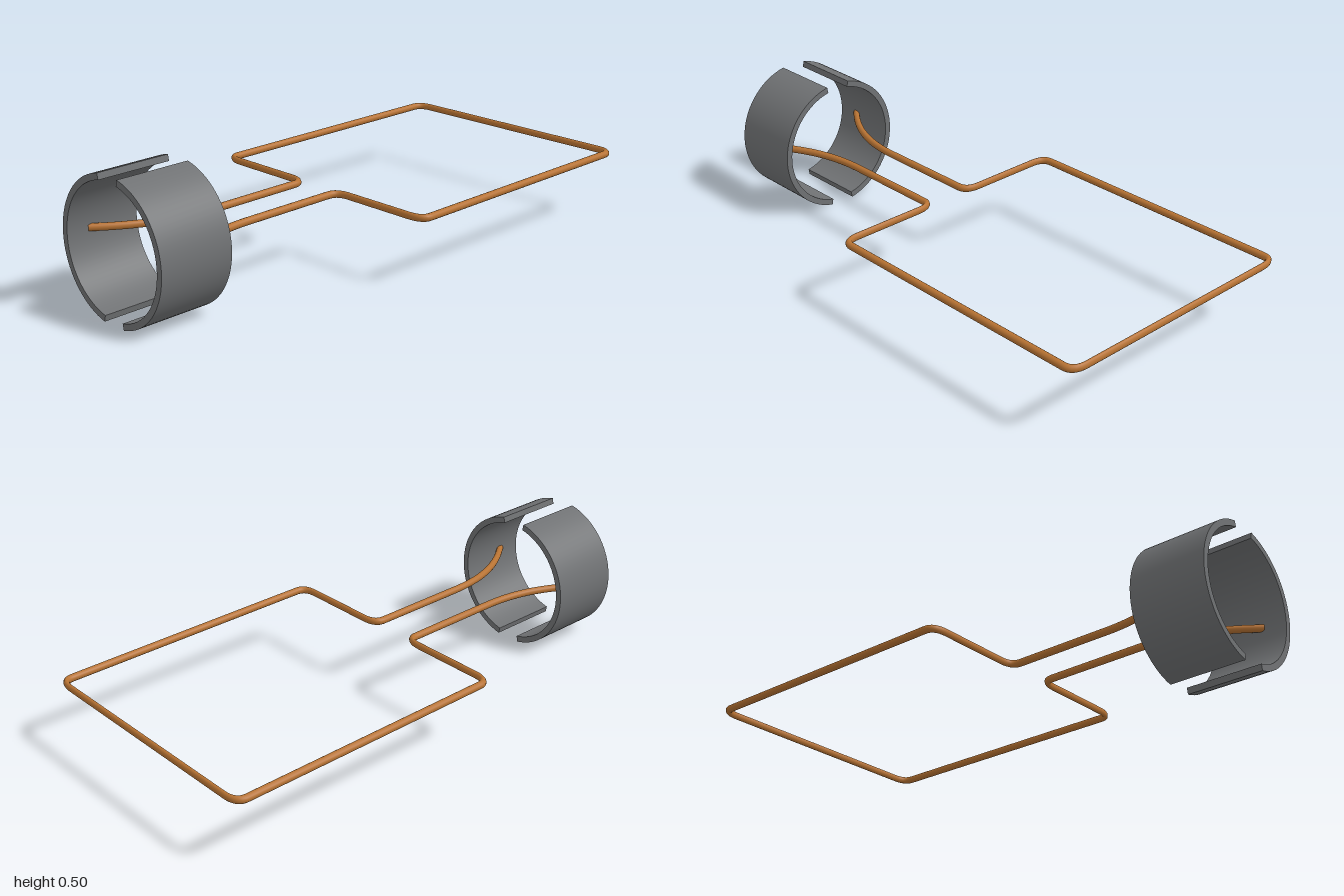
import * as THREE from 'three';
import { toCreasedNormals } from 'three/addons/utils/BufferGeometryUtils.js';

const CY = 0.2515; // height of the wire and of the ring axis
const SQUASH = 0.68; // the wire section is flattened along z

// Path through corner points, each corner rounded off by r
function roundedPath(points, r, path) {
  let last = points[0];
  for (let i = 1; i < points.length - 1; i++) {
    const p = points[i];
    const a = p.clone().add(points[i - 1].clone().sub(p).setLength(r));
    const b = p.clone().add(points[i + 1].clone().sub(p).setLength(r));
    path.add(new THREE.LineCurve3(last, a));
    path.add(new THREE.QuadraticBezierCurve3(a, p, b));
    last = b;
  }
  path.add(new THREE.LineCurve3(last, points[points.length - 1]));
}

function createWire(material) {
  const v = (x, z) => new THREE.Vector3(x, 0, z / SQUASH);
  const path = new THREE.CurvePath();
  // flared end into the right clip
  path.add(new THREE.CubicBezierCurve3(v(-0.24, 0.915), v(-0.15, 0.8), v(-0.086, 0.68), v(-0.086, 0.5)));
  // neck, square loop, neck
  const half = [v(-0.086, 0.5), v(-0.086, 0.086), v(-0.486, 0.086), v(-0.486, -0.991)];
  const other = half.map((p) => new THREE.Vector3(-p.x, 0, p.z)).reverse();
  roundedPath([...half, ...other], 0.06, path);
  // flared end into the left clip
  path.add(new THREE.CubicBezierCurve3(v(0.086, 0.5), v(0.086, 0.68), v(0.15, 0.8), v(0.24, 0.915)));

  const geometry = new THREE.TubeGeometry(path, 500, 0.0135, 14, false);
  geometry.scale(1, 1, SQUASH);
  const wire = new THREE.Mesh(geometry, material);
  wire.name = 'wireLoop';
  wire.position.y = CY;
  return wire;
}

// Curved plate: one side of a split ring
function createClip(material, name, turn) {
  const end = THREE.MathUtils.degToRad(78.7);
  const shape = new THREE.Shape();
  shape.absarc(0, 0, 0.255, -end, end, false);
  shape.absarc(0, 0, 0.232, end, -end, true);
  shape.closePath();
  const geometry = new THREE.ExtrudeGeometry(shape, { depth: 0.28, bevelEnabled: false, curveSegments: 18 });
  const clip = new THREE.Mesh(toCreasedNormals(geometry, Math.PI / 6), material);
  clip.name = name;
  clip.position.set(0, CY, 0.72);
  clip.rotation.z = turn;
  return clip;
}

export function createModel() {
  const model = new THREE.Group();
  model.name = 'wireLoopWithClips';
  const copper = new THREE.MeshStandardMaterial({ color: 0xb87333, side: THREE.DoubleSide });
  const steel = new THREE.MeshStandardMaterial({ color: 0x707274 });
  model.add(createWire(copper));
  model.add(createClip(steel, 'leftClip', 0));
  model.add(createClip(steel, 'rightClip', Math.PI));
  return model;
}
